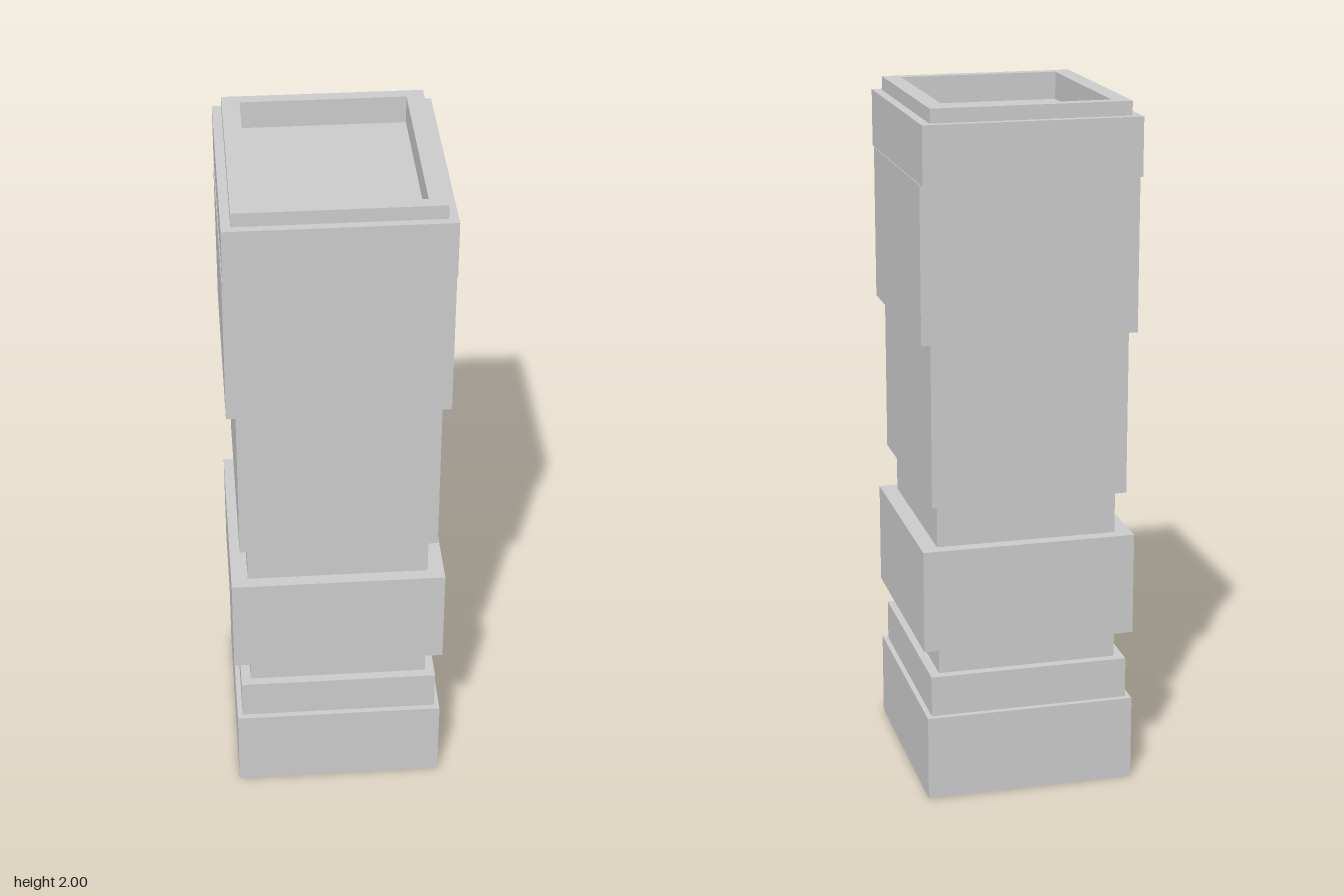
import * as THREE from 'three';

const material = new THREE.MeshStandardMaterial({ color: 0xcccccc, flatShading: true });

function add(group, name, geometry, y) {
  const mesh = new THREE.Mesh(geometry, material);
  mesh.name = name;
  mesh.position.y = y;
  group.add(mesh);
  return mesh;
}

// Solid block given by its bottom, top and half sizes
function addBlock(group, name, y0, y1, hx, hz) {
  add(group, name, new THREE.BoxGeometry(2 * hx, y1 - y0, 2 * hz), (y0 + y1) / 2);
}

function rectangle(PathType, hx, hz) {
  return new PathType([[-hx, -hz], [hx, -hz], [hx, hz], [-hx, hz]].map(([x, z]) => new THREE.Vector2(x, z)));
}

// Rectangular ring around the recess
function addFrame(group, name, y0, y1, hx, hz, holeX, holeZ) {
  const shape = rectangle(THREE.Shape, hx, hz);
  shape.holes.push(rectangle(THREE.Path, holeX, holeZ));
  const geometry = new THREE.ExtrudeGeometry(shape, { depth: y1 - y0, bevelEnabled: false });
  geometry.rotateX(-Math.PI / 2);
  add(group, name, geometry, y0);
}

export function createModel() {
  const pillar = new THREE.Group();
  pillar.name = 'pillar';

  // Stacked shaft: name, bottom, top, half width, half depth
  const blocks = [
    ['base', 0, 0.25, 0.305, 0.327],
    ['baseStep', 0.25, 0.37, 0.29, 0.31],
    ['lowerNeck', 0.37, 0.45, 0.262, 0.283],
    ['middleBand', 0.45, 0.75, 0.31, 0.31],
    ['upperNeck', 0.75, 0.88, 0.262, 0.273],
    ['lowerShaft', 0.88, 1.35, 0.284, 0.31],
    ['upperShaft', 1.35, 1.795, 0.31, 0.31],
  ];
  for (const block of blocks) addBlock(pillar, ...block);

  // Cap with a sunken top
  const holeX = 0.232, holeZ = 0.281;
  addFrame(pillar, 'cap', 1.795, 1.96, 0.308, 0.34, holeX, holeZ);
  addFrame(pillar, 'rim', 1.96, 2, 0.282, 0.317, holeX, holeZ);
  addBlock(pillar, 'recessFloor', 1.795, 1.92, holeX, holeZ);

  return pillar;
}
